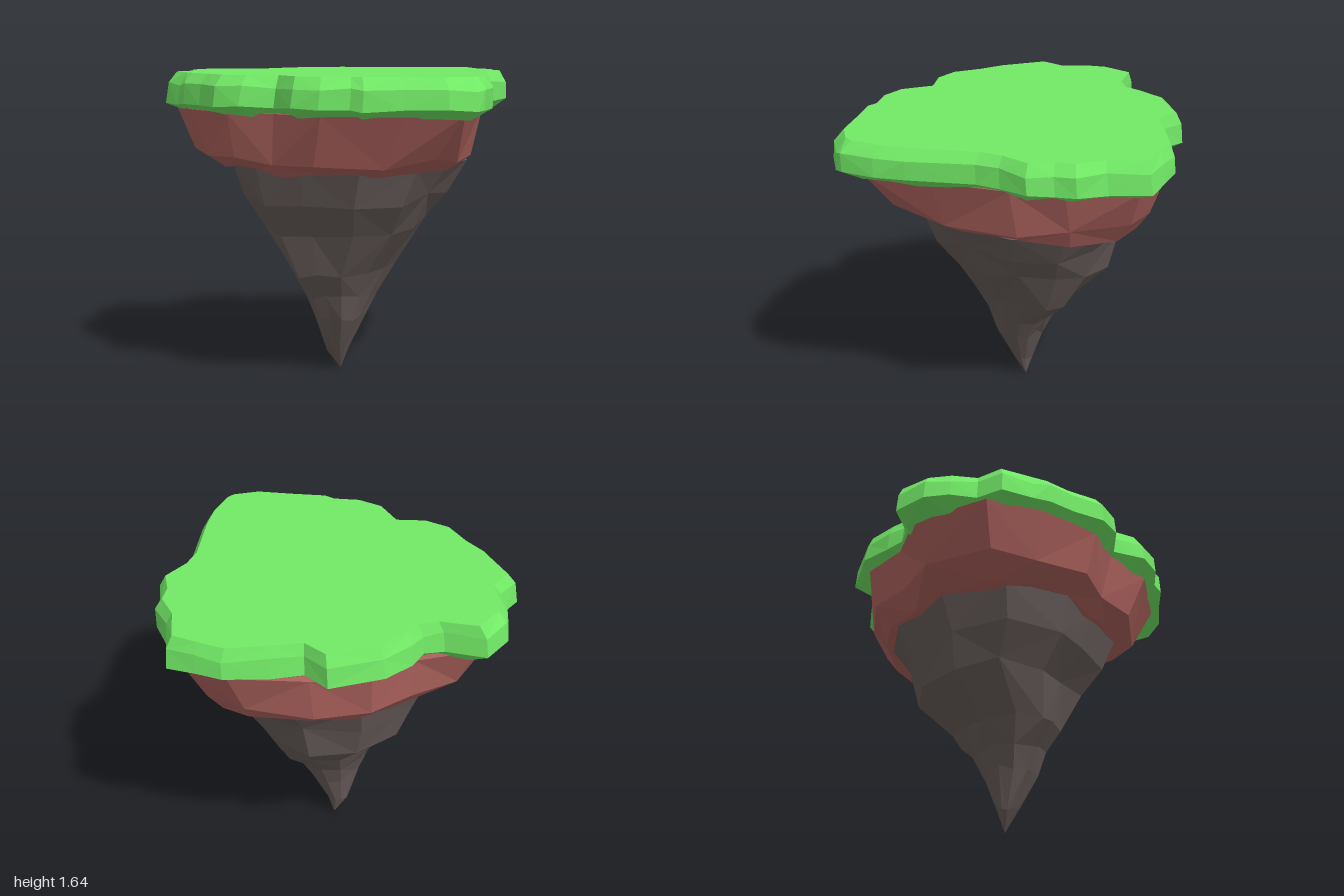
import * as THREE from 'three';

// outline of the grass slab, [x, z], running from the back over the left to the front
const grassOutline = [
  [0.07, -0.94], [0.23, -0.8], [0.38, -0.74], [0.44, -0.65], [0.55, -0.57], [0.57, -0.4], [0.62, -0.28],
  [0.84, 0], [0.93, 0.14], [1, 0.31], [1, 0.36], [0.92, 0.49], [0.75, 0.61], [0.59, 0.73], [0.52, 0.74],
  [0.4, 0.83], [0.25, 0.86], [0.07, 0.79], [-0.06, 0.9], [-0.21, 0.93], [-0.38, 0.87], [-0.53, 0.84],
  [-0.62, 0.8], [-0.78, 0.73], [-0.8, 0.58], [-0.91, 0.49], [-0.98, 0.38], [-1, 0.2], [-0.82, 0.09],
  [-0.76, 0], [-0.77, -0.1], [-0.76, -0.29], [-0.61, -0.53], [-0.46, -0.53], [-0.36, -0.66],
  [-0.21, -0.84], [-0.08, -0.89],
];
// coarser outlines for the soil and the rock, filling -1..1 both ways
const soilOutline = [
  [0.07, -1], [0.4, -0.74], [0.58, -0.47], [0.81, -0.05], [1, 0.35], [0.82, 0.66], [0.42, 0.9], [0.07, 0.9],
  [-0.2, 1], [-0.6, 0.9], [-0.89, 0.74], [-1, 0.26], [-0.82, -0.05], [-0.78, -0.37], [-0.54, -0.62], [-0.2, -0.92],
];
const rockOutline = [
  [0, -1], [0.45, -0.92], [0.82, -0.64], [0.96, -0.15], [1, 0.32], [0.75, 0.78],
  [0.2, 0.92], [-0.25, 1], [-0.8, 0.76], [-1, 0.2], [-0.9, -0.45], [-0.5, -0.88],
];

// repeatable unevenness in -1..1
function wobble(i, k) {
  const s = Math.sin(i * 12.9898 + k * 78.233) * 43758.5453;
  return (s - Math.floor(s)) * 2 - 1;
}

// level: [y, xMin, xMax, zMin, zMax, unevenness, roundness (fills hollows of the outline)]
function makeRing(outline, [y, x0, x1, z0, z1, rough, round = 0], k) {
  return outline.map(([x, z], i) => {
    const dent = 1 - rough * Math.abs(wobble(i, k + 40));
    const s = dent * THREE.MathUtils.lerp(1, Math.max(1, 1 / Math.hypot(x, z)), round);
    return new THREE.Vector3(
      (x0 + x1) / 2 + s * x * (x1 - x0) / 2,
      y + rough * wobble(i, k),
      (z0 + z1) / 2 + s * z * (z1 - z0) / 2);
  });
}

// joins rings from top to bottom and closes the ends with fans
function loft(name, color, rings, top, bottom) {
  const pos = [];
  const tri = (...pts) => pts.forEach(p => pos.push(p.x, p.y, p.z));
  const n = rings[0].length;
  for (let i = 0; i < n; i++) {
    const j = (i + 1) % n;
    for (let k = 0; k < rings.length - 1; k++) {
      const a = rings[k][i], b = rings[k][j], c = rings[k + 1][i], d = rings[k + 1][j];
      if ((i + k) % 2) { tri(a, b, c); tri(b, d, c); }
      else { tri(a, b, d); tri(a, d, c); }
    }
    const last = rings[rings.length - 1];
    tri(top, rings[0][j], rings[0][i]);
    tri(bottom, last[i], last[j]);
  }
  const geometry = new THREE.BufferGeometry();
  geometry.setAttribute('position', new THREE.Float32BufferAttribute(pos, 3));
  geometry.computeVertexNormals();
  const mesh = new THREE.Mesh(geometry, new THREE.MeshStandardMaterial({ color, flatShading: true }));
  mesh.name = name;
  return mesh;
}

export function createModel() {
  const island = new THREE.Group();
  island.name = 'floatingIsland';

  // grass: flat top, bevelled rim, slightly uneven tucked-in underside
  const grassRings = [
    [1.64, -0.94, 0.94, -0.95, 0.94, 0],
    [1.58, -0.985, 1, -0.99, 0.99, 0.01],
    [1.48, -1, 1, -1, 1, 0.01],
    [1.435, -0.9, 0.9, -0.9, 0.9, 0.008],
  ].map((level, k) => makeRing(grassOutline, level, k));
  island.add(loft('grass', 0x72ea66, grassRings,
    new THREE.Vector3(0, 1.64, 0), new THREE.Vector3(0, 1.435, 0)));

  // soil band, rounder towards the bottom
  const soilRings = [
    [1.45, -0.89, 0.88, -0.85, 0.86, 0],
    [1.21, -0.8, 0.71, -0.75, 0.8, 0.03, 0.4],
    [1.135, -0.64, 0.56, -0.65, 0.67, 0.02, 0.8],
  ].map((level, k) => makeRing(soilOutline, level, k + 5));
  island.add(loft('soil', 0xae635e, soilRings,
    new THREE.Vector3(0, 1.45, 0), new THREE.Vector3(0, 1.15, 0)));

  // rock spike tapering to an off-centre tip
  const rockRings = [
    [1.16, -0.62, 0.55, -0.57, 0.66, 0],
    [0.98, -0.56, 0.47, -0.45, 0.61, 0.03],
    [0.81, -0.5, 0.36, -0.37, 0.49, 0.045],
    [0.57, -0.28, 0.19, -0.22, 0.42, 0.03],
    [0.44, -0.21, 0.12, -0.08, 0.33, 0.02],
    [0.31, -0.17, 0.08, 0, 0.28, 0.03],
    [0.11, -0.13, -0.01, 0.09, 0.19, 0.015],
  ].map((level, k) => makeRing(rockOutline, level, k + 11));
  island.add(loft('rock', 0x675c5a, rockRings,
    new THREE.Vector3(0, 1.16, 0), new THREE.Vector3(-0.07, 0, 0.12)));

  return island;
}
